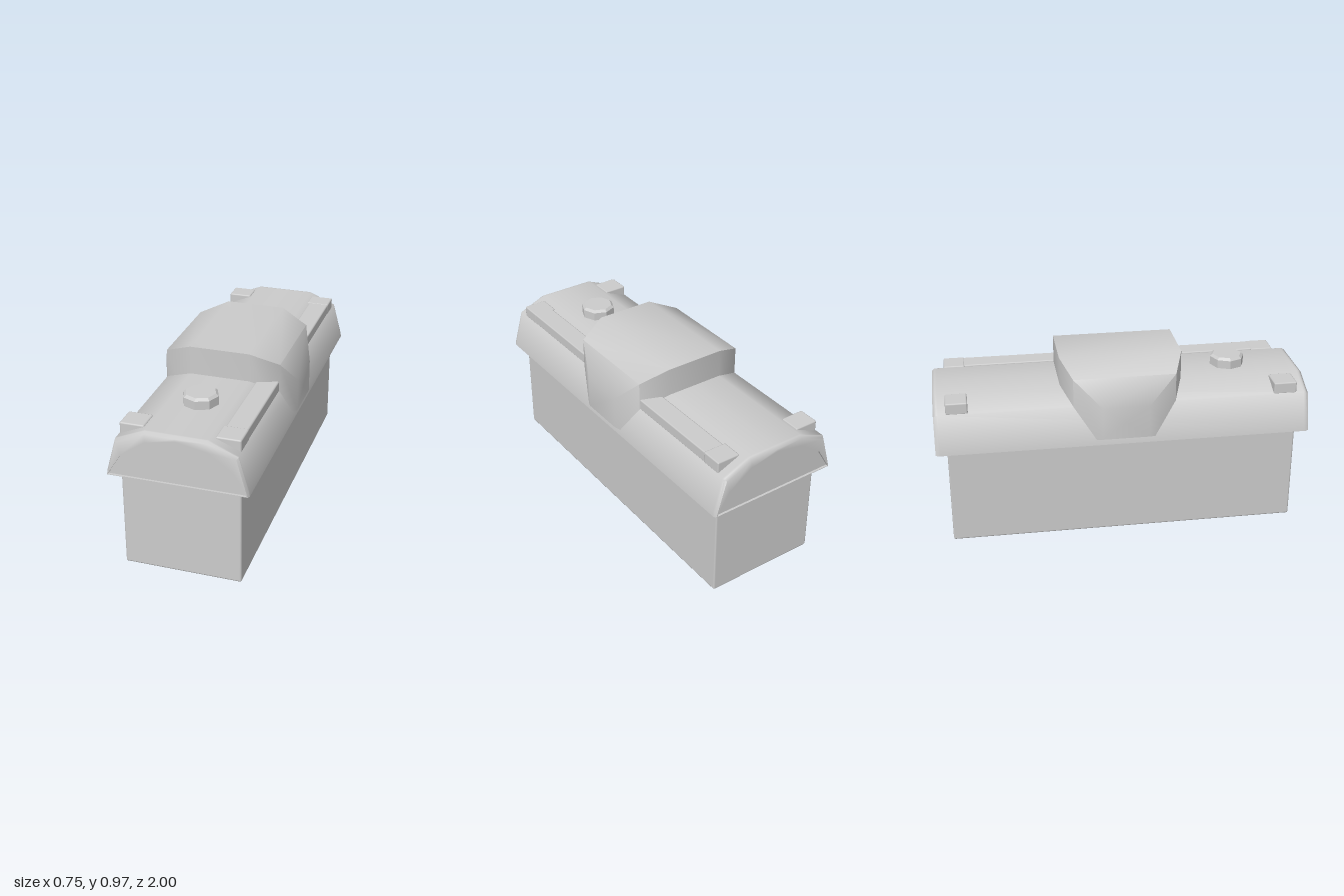
import * as THREE from 'three';
import { toCreasedNormals } from 'three/addons/utils/BufferGeometryUtils.js';
import { RoundedBoxGeometry } from 'three/addons/geometries/RoundedBoxGeometry.js';

const material = new THREE.MeshStandardMaterial({ color: 0xcccccc });

// Skins a list of closed loops with equal point counts and caps both ends.
function loft(sections, crease) {
  const n = sections[0].length;
  const position = [];
  const tri = (...points) => points.forEach((p) => position.push(...p));
  for (let i = 0; i < sections.length - 1; i++) {
    for (let j = 0; j < n; j++) {
      const k = (j + 1) % n;
      const a = sections[i][j], b = sections[i][k];
      const c = sections[i + 1][k], d = sections[i + 1][j];
      tri(a, b, c);
      tri(a, c, d);
    }
  }
  const cap = (loop, flip) => {
    const centre = [0, 1, 2].map((axis) => loop.reduce((sum, p) => sum + p[axis], 0) / n);
    for (let j = 0; j < n; j++) {
      const k = (j + 1) % n;
      tri(centre, loop[flip ? k : j], loop[flip ? j : k]);
    }
  };
  cap(sections[0], true);
  cap(sections[sections.length - 1], false);
  const geometry = new THREE.BufferGeometry();
  geometry.setAttribute('position', new THREE.Float32BufferAttribute(position, 3));
  return toCreasedNormals(geometry, crease);
}

// Mirrors a half profile (right foot up to the ridge) into a full arch at depth z.
function arch(half, z) {
  const left = half.slice(0, -1).reverse().map(([x, y]) => [-x, y]);
  return [...half, ...left].map(([x, y]) => [x, y, z]);
}

export function createModel() {
  const group = new THREE.Group();
  const add = (name, geometry, x = 0, y = 0, z = 0) => {
    const mesh = new THREE.Mesh(geometry, material);
    mesh.name = name;
    mesh.position.set(x, y, z);
    group.add(mesh);
  };
  const block = (name, x0, x1, y0, y1, z0, z1, radius = 0.008) => add(
    name,
    new RoundedBoxGeometry(x1 - x0, y1 - y0, z1 - z0, 1, radius),
    (x0 + x1) / 2, (y0 + y1) / 2, (z0 + z1) / 2,
  );

  // Lower case
  block('body', -0.312, 0.312, 0, 0.56, -0.94, 0.94, 0.01);

  // Arched roof with a bevelled rim and slightly sunken end panels
  const outer = [[0.366, 0.545], [0.362, 0.57], [0.312, 0.752], [0.16, 0.816], [0, 0.816]];
  const rim = [[0.36, 0.548], [0.354, 0.57], [0.305, 0.742], [0.158, 0.805], [0, 0.805]];
  const panel = [[0.355, 0.551], [0.345, 0.57], [0.285, 0.67], [0.155, 0.76], [0, 0.79]];
  const end = [[outer, 0.975], [outer, 0.985], [rim, 1], [panel, 1], [panel, 0.988]];
  add('roof', loft([
    ...[...end].reverse().map(([half, z]) => arch(half, -z)),
    ...end.map(([half, z]) => arch(half, z)),
  ], 1.0));

  // Raised middle: each station is x, base height, top height, half length
  const right = [[0.16, 0.56, 0.97, 0.328], [0.312, 0.56, 0.906, 0.272], [0.374, 0.58, 0.76, 0.125]];
  const stations = [...[...right].reverse().map(([x, ...rest]) => [-x, ...rest]), ...right];
  add('raisedMiddle', loft(stations.map(([x, y0, y1, z]) => [
    [x, y0, -z], [x, y1, -z], [x, y1, z], [x, y0, z],
  ]), 0.9));

  // Corner pads, and long rails along the left edge only
  for (const s of [-1, 1]) {
    const [z0, z1] = s > 0 ? [0.81, 0.935] : [-0.935, -0.82];
    block('cornerPadRight', -0.31, -0.18, 0.748, 0.813, z0, z1);
    block('cornerPadLeft', 0.18, 0.31, 0.748, 0.813, z0, z1);
    block('sideRail', 0.192, 0.308, 0.749, 0.811, s > 0 ? 0.26 : -0.93, s > 0 ? 0.93 : -0.26);
  }

  // Eight-sided knob with a bevelled top
  const knob = new THREE.LatheGeometry(
    [[0.094, 0], [0.094, 0.062], [0.08, 0.075], [0, 0.075]].map(([r, y]) => new THREE.Vector2(r, y)), 8,
  );
  add('knob', toCreasedNormals(knob, 0.5), 0, 0.8, 0.62);

  return group;
}
